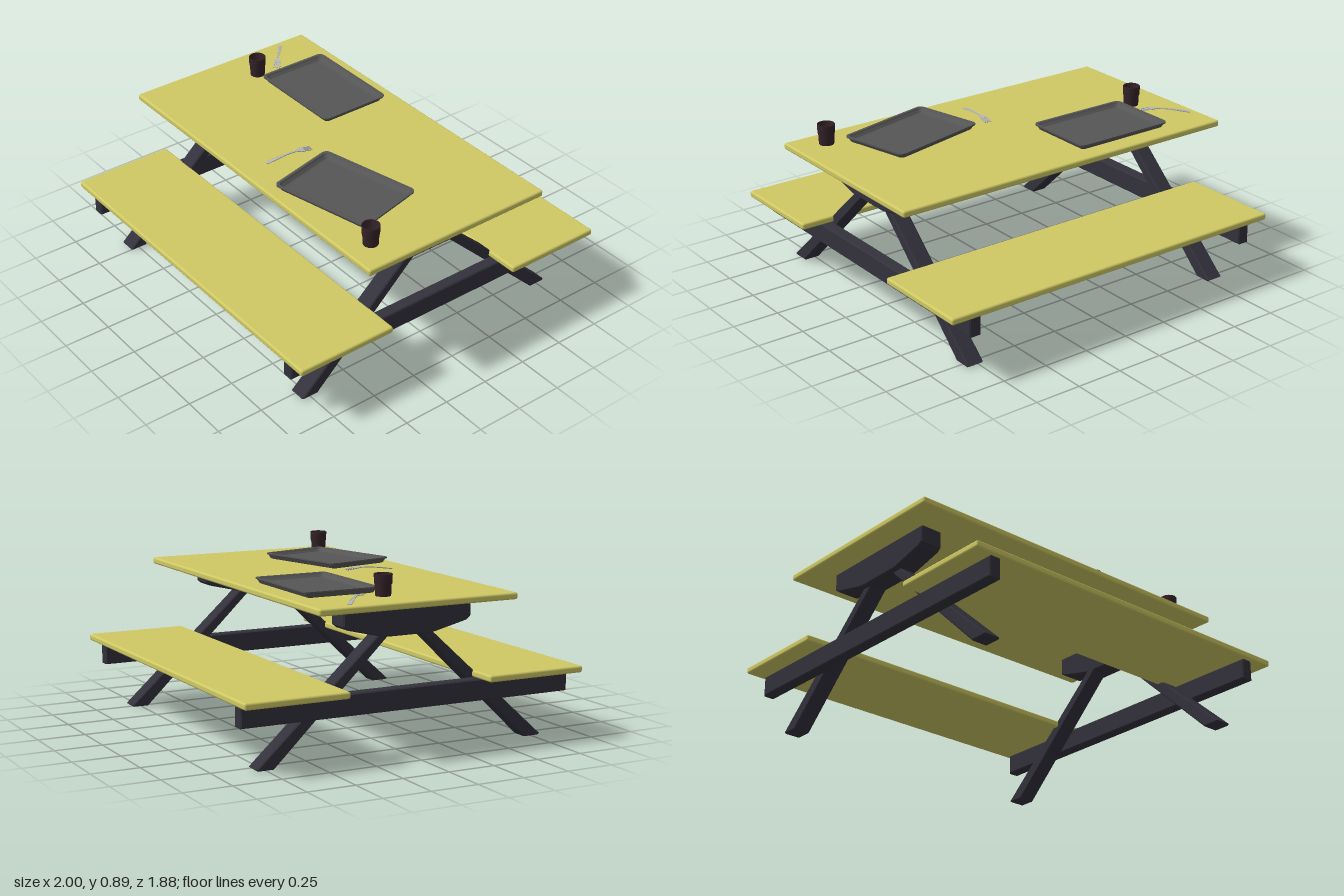
import * as THREE from 'three';
import { RoundedBoxGeometry } from 'three/addons/geometries/RoundedBoxGeometry.js';

const mat = (color, side = THREE.FrontSide) => {
  const m = new THREE.MeshStandardMaterial({ side });
  m.color.set(color);
  return m;
};
const paint = mat(0xcfc964);
const frame = mat(0x33313b);
const trayMat = mat(0x565656, THREE.DoubleSide);
const cupMat = mat(0x35232a, THREE.DoubleSide);
const steel = mat(0xb4b4b4, THREE.DoubleSide);

function add(parent, name, geometry, material, x = 0, y = 0, z = 0) {
  const mesh = new THREE.Mesh(geometry, material);
  mesh.name = name;
  mesh.position.set(x, y, z);
  parent.add(mesh);
  return mesh;
}

// Board spanning the full length, with softened edges
function plank(parent, name, y0, y1, z0, z1) {
  add(parent, name, new RoundedBoxGeometry(2, y1 - y0, z1 - z0, 3, 0.011), paint,
    0, (y0 + y1) / 2, (z0 + z1) / 2);
}

// Timber cut from a [z, y] outline and given a chamfered thickness along x
function timber(points, thickness, bevel = 0.006) {
  const shape = new THREE.Shape(points.map(([z, y]) => new THREE.Vector2(z, y)));
  const g = new THREE.ExtrudeGeometry(shape, {
    depth: thickness - 2 * bevel, bevelEnabled: true, bevelSegments: 1,
    bevelSize: bevel, bevelThickness: bevel, bevelOffset: -bevel,
  });
  g.translate(0, 0, -thickness / 2 + bevel);
  return g.rotateY(-Math.PI / 2);
}

// Outline of a rectangle with rounded corners, as [x, z] pairs
function roundedRect(w, d, r, steps = 5) {
  const out = [];
  const corners = [[1, 1], [-1, 1], [-1, -1], [1, -1]];
  corners.forEach(([sx, sz], c) => {
    for (let i = 0; i <= steps; i++) {
      const a = (c + i / steps) * Math.PI / 2;
      out.push([sx * (w / 2 - r) + r * Math.cos(a), sz * (d / 2 - r) + r * Math.sin(a)]);
    }
  });
  return out;
}

// Tray lofted through rounded rectangles: [inset, height]
function trayGeometry(w, d) {
  const rings = [[0.03, 0], [0.018, 0.004], [0.008, 0.022], [0, 0.026], [0, 0.033],
    [0.014, 0.033], [0.02, 0.024], [0.032, 0.012], [0.045, 0.01]];
  const pos = [], index = [];
  let n = 0;
  rings.forEach(([inset, y]) => {
    const loop = roundedRect(w - 2 * inset, d - 2 * inset, Math.max(0.008, 0.03 - inset * 0.5));
    n = loop.length;
    loop.forEach(([x, z]) => pos.push(x, y, z));
  });
  for (let k = 0; k < rings.length - 1; k++) {
    for (let i = 0; i < n; i++) {
      const a = k * n + i, b = k * n + (i + 1) % n;
      index.push(a, a + n, b, b, a + n, b + n);
    }
  }
  // Close the underside and the inner floor
  const top = (rings.length - 1) * n;
  for (let i = 1; i < n - 1; i++) {
    index.push(0, i, i + 1, top, top + i + 1, top + i);
  }
  const g = new THREE.BufferGeometry();
  g.setAttribute('position', new THREE.Float32BufferAttribute(pos, 3));
  g.setIndex(index);
  const flat = g.toNonIndexed();
  flat.computeVertexNormals();
  return flat;
}

// Fork lying along z with its tines at -z; the flat outline is bent upward
function forkGeometry() {
  const right = [[0.008, 0.13], [0.011, 0.12], [0.009, 0.07], [0.006, 0.02], [0.005, -0.01],
    [0.005, -0.04], [0.01, -0.055], [0.018, -0.068], [0.019, -0.08], [0.019, -0.13]];
  const tines = [[0.013, -0.13], [0.012, -0.085], [0.008, -0.085], [0.007, -0.13],
    [0.002, -0.13], [0.002, -0.085]];
  const half = [...right, ...tines];
  const outline = [...half, ...half.slice().reverse().map(([x, z]) => [-x, z])];
  const g = new THREE.ExtrudeGeometry(
    new THREE.Shape(outline.map(([x, z]) => new THREE.Vector2(x, -z))),
    { depth: 0.004, bevelEnabled: false });
  g.rotateX(-Math.PI / 2);
  const p = g.attributes.position;
  for (let i = 0; i < p.count; i++) {
    const t = (0.13 - p.getZ(i)) / 0.26;
    const lift = 0.016 * Math.sin(Math.PI * Math.min(1, t * 0.8)) - 0.008 * Math.max(0, t - 0.7);
    p.setY(i, p.getY(i) + lift);
  }
  g.computeVertexNormals();
  return g;
}

// Open tumbler with a band around the upper half
function cupGeometry() {
  const profile = [[0, 0], [0.037, 0], [0.039, 0.004], [0.041, 0.058], [0.044, 0.062],
    [0.046, 0.108], [0.044, 0.111], [0.041, 0.108], [0.036, 0.008], [0, 0.008]];
  return new THREE.LatheGeometry(profile.map(([r, y]) => new THREE.Vector2(r, y)), 24);
}

export function createModel() {
  const model = new THREE.Group();
  model.name = 'picnicTable';

  // Boards
  plank(model, 'tableTop', 0.742, 0.777, -0.555, 0.54);
  plank(model, 'frontBench', 0.34, 0.375, 0.387, 0.938);
  plank(model, 'backBench', 0.34, 0.375, -0.938, -0.387);

  // Trestle at each end: top support, bench beam and two slanted legs
  const apron = [[-0.355, 0.745], [-0.355, 0.655], [-0.33, 0.637], [-0.155, 0.595], [-0.13, 0.59],
    [0.13, 0.59], [0.155, 0.595], [0.33, 0.637], [0.355, 0.655], [0.355, 0.745]];
  const beam = [[-0.912, 0.232], [0.912, 0.232], [0.912, 0.341], [-0.912, 0.341]];
  const leg = [[0.8, 0.008], [0.79, 0], [0.708, 0], [0.07, 0.61], [0.135, 0.61]];
  for (const side of [1, -1]) {
    const trestle = new THREE.Group();
    trestle.name = side > 0 ? 'leftTrestle' : 'rightTrestle';
    trestle.position.x = -0.009;
    model.add(trestle);
    add(trestle, 'topSupport', timber(apron, 0.123), frame, side * 0.794);
    add(trestle, 'benchBeam', timber(beam, 0.066), frame, side * 0.859);
    add(trestle, 'frontLeg', timber(leg, 0.093), frame, side * 0.779);
    const mirrored = leg.map(([z, y]) => [-z, y]).reverse();
    add(trestle, 'backLeg', timber(mirrored, 0.093), frame, side * 0.779);
  }

  // Place settings: [x, z, turn] for tray and fork, [x, z] for cup
  const settings = [
    { tray: [-0.423, -0.272, 0], fork: [-0.857, -0.29, -2.28], cup: [-0.783, -0.095] },
    { tray: [0.42, 0.235, 0.235], fork: [-0.011, 0.262, -0.12], cup: [0.83, 0.4] },
  ];
  const tray = trayGeometry(0.575, 0.405), fork = forkGeometry(), cup = cupGeometry();
  for (const s of settings) {
    add(model, 'tray', tray, trayMat, s.tray[0], 0.777, s.tray[1]).rotation.y = s.tray[2];
    add(model, 'fork', fork, steel, s.fork[0], 0.778, s.fork[1]).rotation.y = s.fork[2];
    add(model, 'cup', cup, cupMat, s.cup[0], 0.775, s.cup[1]);
  }
  return model;
}
